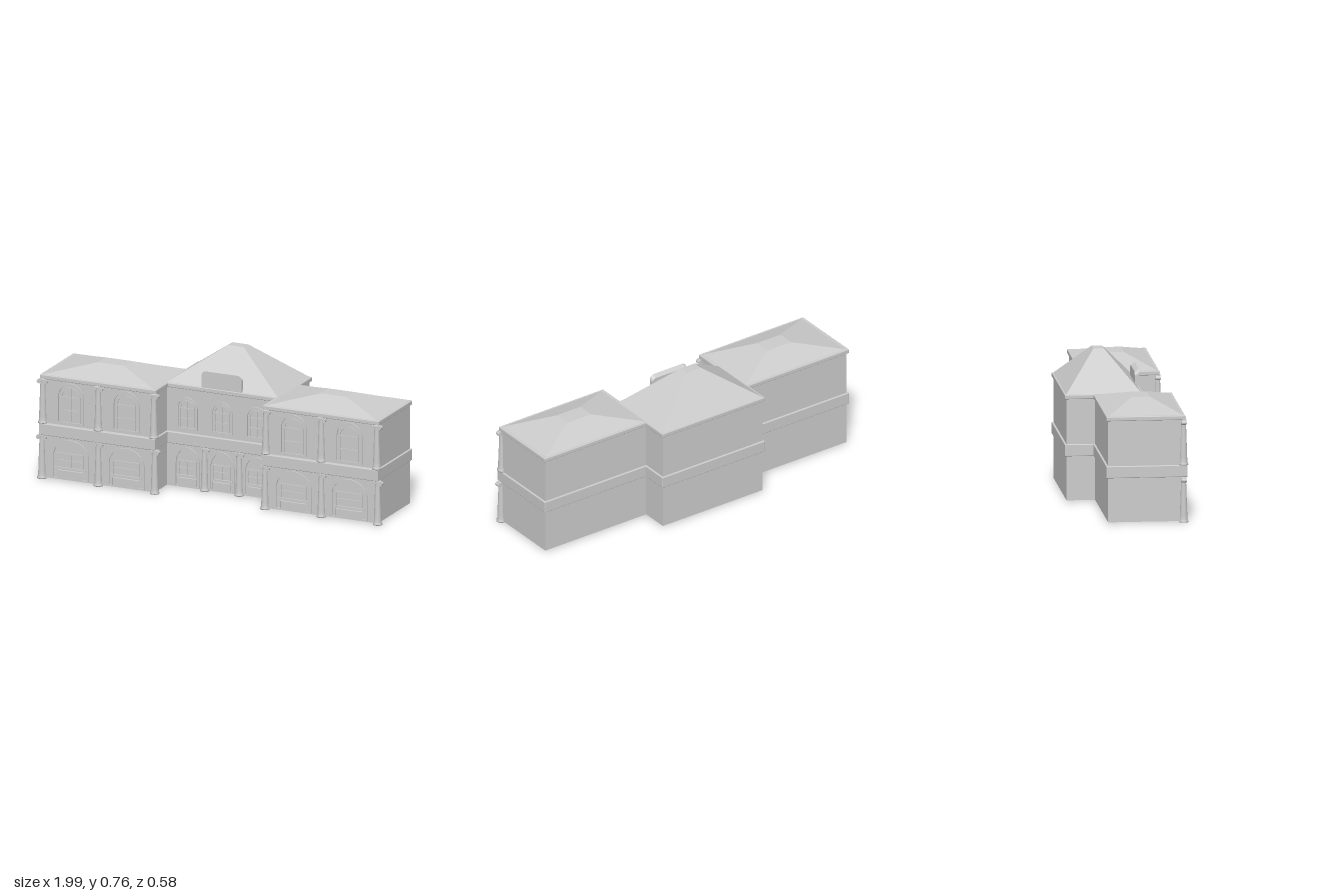
import * as THREE from 'three';
import { RoundedBoxGeometry } from 'three/addons/geometries/RoundedBoxGeometry.js';

const grey = new THREE.MeshStandardMaterial({ color: 0xcccccc });

function add(parent, name, geometry, x = 0, y = 0, z = 0) {
  const mesh = new THREE.Mesh(geometry, grey);
  mesh.name = name;
  mesh.position.set(x, y, z);
  parent.add(mesh);
  return mesh;
}

// Box given by its limits; a radius rounds the edges
function block(parent, name, [x0, x1], [y0, y1], [z0, z1], radius = 0) {
  const size = [x1 - x0, y1 - y0, z1 - z0];
  const geometry = radius ? new RoundedBoxGeometry(...size, 2, radius) : new THREE.BoxGeometry(...size);
  return add(parent, name, geometry, (x0 + x1) / 2, (y0 + y1) / 2, (z0 + z1) / 2);
}

// Hipped roof with a small flat top: a box whose upper corners are pulled in
function hipRoof(parent, x, z, y, topX, topZ) {
  const geometry = new THREE.BoxGeometry(1, 1, 1);
  const p = geometry.attributes.position;
  for (let i = 0; i < p.count; i++) {
    const top = p.getY(i) > 0;
    const xs = top ? topX : x, zs = top ? topZ : z;
    p.setXYZ(i, xs[p.getX(i) > 0 ? 1 : 0], y[top ? 1 : 0], zs[p.getZ(i) > 0 ? 1 : 0]);
  }
  geometry.computeVertexNormals();
  return add(parent, 'roof', geometry);
}

// Tapered column with a moulded base and a scrolled capital
function column(parent, x, z, y0, y1) {
  const group = new THREE.Group();
  group.name = 'column';
  group.position.set(x, y0, z);
  const h = y1 - y0;
  const profile = [
    [0, 0], [0.025, 0], [0.025, 0.006], [0.022, 0.008], [0.023, 0.013], [0.02, 0.016],
    [0.0195, 0.04], [0.0135, h - 0.03], [0.0125, h - 0.012], [0.015, h - 0.01], [0.015, h], [0, h],
  ].map(([r, y]) => new THREE.Vector2(r, y));
  add(group, 'shaft', new THREE.LatheGeometry(profile, 20));
  for (const side of [-1, 1]) {
    const scroll = add(group, 'scroll', new THREE.CylinderGeometry(0.011, 0.011, 0.028, 14), side * 0.018, h - 0.016, 0);
    scroll.rotation.x = Math.PI / 2;
  }
  add(group, 'capital', new THREE.BoxGeometry(0.042, 0.009, 0.028), 0, h - 0.008, 0);
  parent.add(group);
}

// Outline of an arched opening, half width w, from bottom b past spring line s to top t
function arch(Type, w, b, s, t) {
  const outline = new Type();
  outline.moveTo(-w, b);
  outline.lineTo(w, b);
  outline.lineTo(w, s);
  outline.absellipse(0, s, w, t - s, 0, Math.PI, false);
  outline.closePath();
  return outline;
}

// Raised arched frame
function archFrame(parent, w, b, s, t, width, depth) {
  const shape = arch(THREE.Shape, w, b, s, t);
  shape.holes.push(arch(THREE.Path, w - width, b + width, s, t - width));
  add(parent, 'archFrame', new THREE.ExtrudeGeometry(shape, { depth, bevelEnabled: false, curveSegments: 16 }));
}

// Upper window: double arched frame, mullion and crossbars
function upperWindow(parent, x, z, w, b, t) {
  const group = new THREE.Group();
  group.name = 'upperWindow';
  group.position.set(x, 0, z);
  const s = t - w, inner = w * 0.72;
  archFrame(group, w, b, s, t, 0.008, 0.007);
  archFrame(group, inner, b, s, s + inner, 0.006, 0.005);
  block(group, 'mullion', [-0.003, 0.003], [b, s + inner - 0.003], [0, 0.005]);
  block(group, 'crossbar', [-inner, inner], [s - 0.004, s + 0.003], [0, 0.005]);
  block(group, 'crossbar', [-inner, inner], [(b + s) / 2 - 0.003, (b + s) / 2 + 0.003], [0, 0.005]);
  parent.add(group);
}

// Ground floor window: wide arch over a square window and a raised panel
function lowerWindow(parent, x, z, w) {
  const group = new THREE.Group();
  group.name = 'lowerWindow';
  group.position.set(x, 0, z);
  const inner = w * 0.72;
  archFrame(group, w, 0.008, 0.135, 0.225, 0.008, 0.007);
  block(group, 'panel', [-inner, inner], [0.012, 0.058], [0, 0.006], 0.002);
  block(group, 'sill', [-w * 0.85, w * 0.85], [0.066, 0.074], [0, 0.008]);
  block(group, 'lintel', [-inner, inner], [0.145, 0.152], [0, 0.006]);
  block(group, 'crossbar', [-inner, inner], [0.109, 0.114], [0, 0.005]);
  for (const k of [-1, 0, 1]) {
    const cx = k * (inner - 0.003);
    block(group, 'mullion', [cx - 0.003, cx + 0.003], [0.07, 0.15], [0, 0.005]);
  }
  parent.add(group);
}

// Walls, floor band, cornice and roof shared by all three blocks
function storeys(parent, x, z, frontBand) {
  const grow = ([a, b], d) => [a - d, b + d];
  block(parent, 'walls', x, [0.005, 0.55], z);
  block(parent, 'floorBand', grow(x, 0.01), [0.24, 0.303], [z[0] - 0.01, z[1] + frontBand], 0.004);
  block(parent, 'cornice', grow(x, 0.01), [0.543, 0.566], grow(z, 0.01), 0.004);
}

export function createModel() {
  const model = new THREE.Group();
  model.name = 'building';

  // Central block
  const centre = new THREE.Group();
  centre.name = 'centralBlock';
  model.add(centre);
  storeys(centre, [-0.32, 0.32], [-0.28, 0.115], 0.016);
  hipRoof(centre, [-0.325, 0.325], [-0.285, 0.118], [0.563, 0.757], [-0.045, 0.045], [-0.11, -0.055]);
  for (const x of [-0.1, 0.1]) column(centre, x, 0.117, 0.002, 0.24);
  for (const x of [-0.2, 0, 0.2]) {
    upperWindow(centre, x, 0.115, 0.06, 0.325, 0.497);
    lowerWindow(centre, x, 0.115, 0.072);
  }

  // Rounded parapet panel, its top sloping down to the back
  const w = 0.115, r = 0.025, top = 0.656;
  const panel = new THREE.Shape();
  panel.moveTo(-w, 0.56);
  panel.lineTo(w, 0.56);
  panel.lineTo(w, top - r);
  panel.absarc(w - r, top - r, r, 0, Math.PI / 2, false);
  panel.absarc(r - w, top - r, r, Math.PI / 2, Math.PI, false);
  panel.closePath();
  const panelGeometry = new THREE.ExtrudeGeometry(panel, { depth: 0.022, bevelEnabled: false, curveSegments: 8 });
  const p = panelGeometry.attributes.position;
  for (let i = 0; i < p.count; i++) {
    if (p.getZ(i) < 0.01 && p.getY(i) > 0.6) p.setY(i, p.getY(i) - 0.014);
  }
  panelGeometry.computeVertexNormals();
  add(centre, 'parapetPanel', panelGeometry, 0, 0, 0.1);

  // Mirrored wings
  for (const side of [-1, 1]) {
    const wing = new THREE.Group();
    wing.name = side > 0 ? 'leftWing' : 'rightWing';
    wing.position.x = side * 0.643;
    model.add(wing);
    storeys(wing, [-0.325, 0.325], [-0.13, 0.264], 0.023);
    hipRoof(wing, [-0.33, 0.33], [-0.135, 0.27], [0.563, 0.622], [-0.075, 0.075], [0.02, 0.115]);
    for (const x of [-0.325, 0, 0.325]) {
      column(wing, x, 0.266, 0, 0.24);
      column(wing, x * 0.985, 0.266, 0.303, 0.545);
    }
    for (const x of [-0.16, 0.16]) {
      upperWindow(wing, x, 0.264, 0.077, 0.315, 0.535);
      lowerWindow(wing, x, 0.264, 0.105);
    }
  }
  return model;
}
